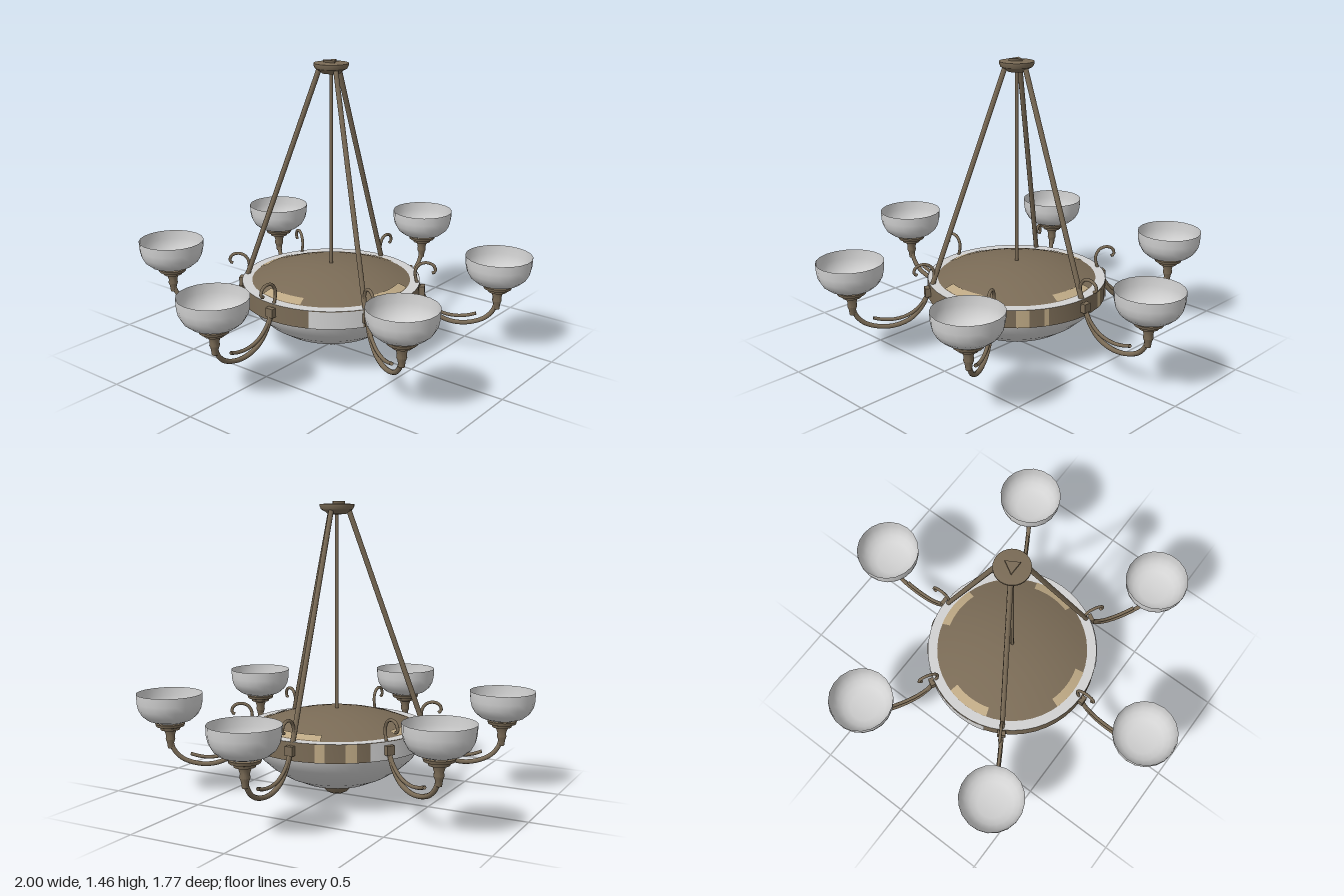
import * as THREE from 'three';
import { toCreasedNormals } from 'three/addons/utils/BufferGeometryUtils.js';

const mat = (name, color) => {
  const m = new THREE.MeshStandardMaterial({ color, side: THREE.DoubleSide });
  m.name = name;
  return m;
};
const rad = THREE.MathUtils.degToRad;

export function createModel() {
  const brass = mat('aged brass', 0x7a6b56);
  const tan = mat('pale brass', 0xbda884);
  const glass = mat('frosted glass', 0xd2d2d2);

  const add = (parent, name, geometry, material) => {
    const mesh = new THREE.Mesh(geometry, material);
    mesh.name = name;
    parent.add(mesh);
    return mesh;
  };
  // Turned part; from and to are degrees measured from +x towards +z
  const turned = (profile, segments = 32, from = 0, to = 360) => toCreasedNormals(
    new THREE.LatheGeometry(profile.map(([r, y]) => new THREE.Vector2(r, y)),
      segments, rad(90 - to), rad(to - from)), 0.6);
  // Tube through points [outwards, up]
  const tube = (points, radius, segments = 24) => new THREE.TubeGeometry(
    new THREE.CatmullRomCurve3(points.map(([x, y]) => new THREE.Vector3(x, y, 0))),
    segments, radius, 8);

  const group = new THREE.Group();

  // Central dish: glass bowl, brass band, pale top rim, shallow dome
  add(group, 'dishGlass', turned([
    [0, 0.045], [0.08, 0.05], [0.17, 0.07], [0.26, 0.11], [0.33, 0.155],
    [0.385, 0.205], [0.415, 0.25], [0.425, 0.28],
  ], 48), glass);
  add(group, 'band', turned([[0.42, 0.27], [0.45, 0.27], [0.45, 0.36]], 48), brass);
  add(group, 'rim', turned([[0.45, 0.36], [0.395, 0.36]], 48), glass);
  const domeY = (r) => 0.36 + 0.08 * (1 - (r / 0.4) ** 2);
  const domeRadii = [0.4, 0.35, 0.3, 0.24, 0.18, 0.12, 0.06, 0];
  add(group, 'dome', turned(domeRadii.map((r) => [r, domeY(r)]), 48), brass);

  // Pale panels on the dome edge
  for (let a = 0; a < 360; a += 90) {
    add(group, 'domePanel', turned(
      [0.4, 0.375, 0.355].map((r) => [r, domeY(r) + 0.004]), 8, a - 17, a + 17), tan);
  }
  // Polished panels on the band
  const panel = [[0.453, 0.272], [0.453, 0.358]];
  for (const [from, to] of [[122, 155], [-108, -48]]) {
    add(group, 'bandLightPanel', turned(panel, 10, from, to), glass);
  }
  for (const [from, to] of [[-40, -33], [-21, -15], [26, 29], [38, 46]]) {
    add(group, 'bandPalePanel', turned(panel, 4, from, to), tan);
  }

  // Finial under the dish
  add(group, 'finial', turned([
    [0, 0], [0.03, 0.003], [0.055, 0.015], [0.073, 0.035], [0.082, 0.056], [0, 0.06],
  ], 24), brass);
  add(group, 'finialPanel', turned(
    [[0.057, 0.014], [0.076, 0.035], [0.084, 0.053]], 6, 78, 130), tan);

  // Ceiling canopy with a small triangular boss
  add(group, 'canopy', turned([
    [0, 1.4], [0.045, 1.402], [0.055, 1.412], [0.078, 1.425], [0.085, 1.44],
    [0.085, 1.45], [0.05, 1.453], [0, 1.453],
  ], 28), brass);
  const boss = add(group, 'canopyBoss', new THREE.CylinderGeometry(0.04, 0.04, 0.016, 3), brass);
  boss.position.y = 1.456;
  boss.rotation.y = Math.PI / 2;

  // Central stem and three slanted rods
  const stem = add(group, 'centralStem', new THREE.CylinderGeometry(0.009, 0.009, 0.99, 8), brass);
  stem.position.y = 0.925;
  for (const a of [0, 120, 240]) {
    const rod = new THREE.Group();
    rod.name = 'suspensionRod';
    rod.rotation.y = -rad(a);
    add(rod, 'rod', new THREE.TubeGeometry(new THREE.LineCurve3(
      new THREE.Vector3(0.45, 0.31, 0), new THREE.Vector3(0.055, 1.43, 0)), 1, 0.013, 8), brass);
    group.add(rod);
  }

  // Six scrolled arms, each carrying a glass shade
  for (let a = 0; a < 360; a += 60) {
    const arm = new THREE.Group();
    arm.name = 'arm';
    arm.rotation.y = -rad(a);
    add(arm, 'mainCurve', tube([
      [0.455, 0.32], [0.49, 0.245], [0.55, 0.185], [0.63, 0.158], [0.71, 0.162],
      [0.78, 0.19], [0.82, 0.235], [0.835, 0.29],
    ], 0.012, 32), brass);
    add(arm, 'lowerScroll', tube([
      [0.46, 0.31], [0.5, 0.25], [0.56, 0.207], [0.63, 0.192], [0.69, 0.197], [0.735, 0.21],
    ], 0.009), brass);
    add(arm, 'upperScroll', tube([
      [0.458, 0.32], [0.432, 0.37], [0.426, 0.42], [0.447, 0.455], [0.485, 0.465],
      [0.518, 0.45], [0.525, 0.42], [0.51, 0.412],
    ], 0.008), brass);
    const clasp = add(arm, 'clasp', new THREE.BoxGeometry(0.03, 0.045, 0.042), brass);
    clasp.position.set(0.46, 0.32, 0);

    const lamp = new THREE.Group();
    lamp.name = 'lamp';
    lamp.position.x = 0.835;
    add(lamp, 'socket', turned([
      [0, 0.235], [0.014, 0.24], [0.018, 0.27], [0.024, 0.285], [0.022, 0.305],
      [0.03, 0.33], [0.048, 0.335], [0.052, 0.348], [0.07, 0.353], [0.075, 0.368], [0, 0.372],
    ], 16), brass);
    add(lamp, 'shade', turned([
      [0, 0.374], [0.075, 0.374], [0.11, 0.387], [0.138, 0.41], [0.156, 0.442],
      [0.163, 0.475], [0.165, 0.52],
    ], 20), glass);
    arm.add(lamp);
    group.add(arm);
  }
  return group;
}
